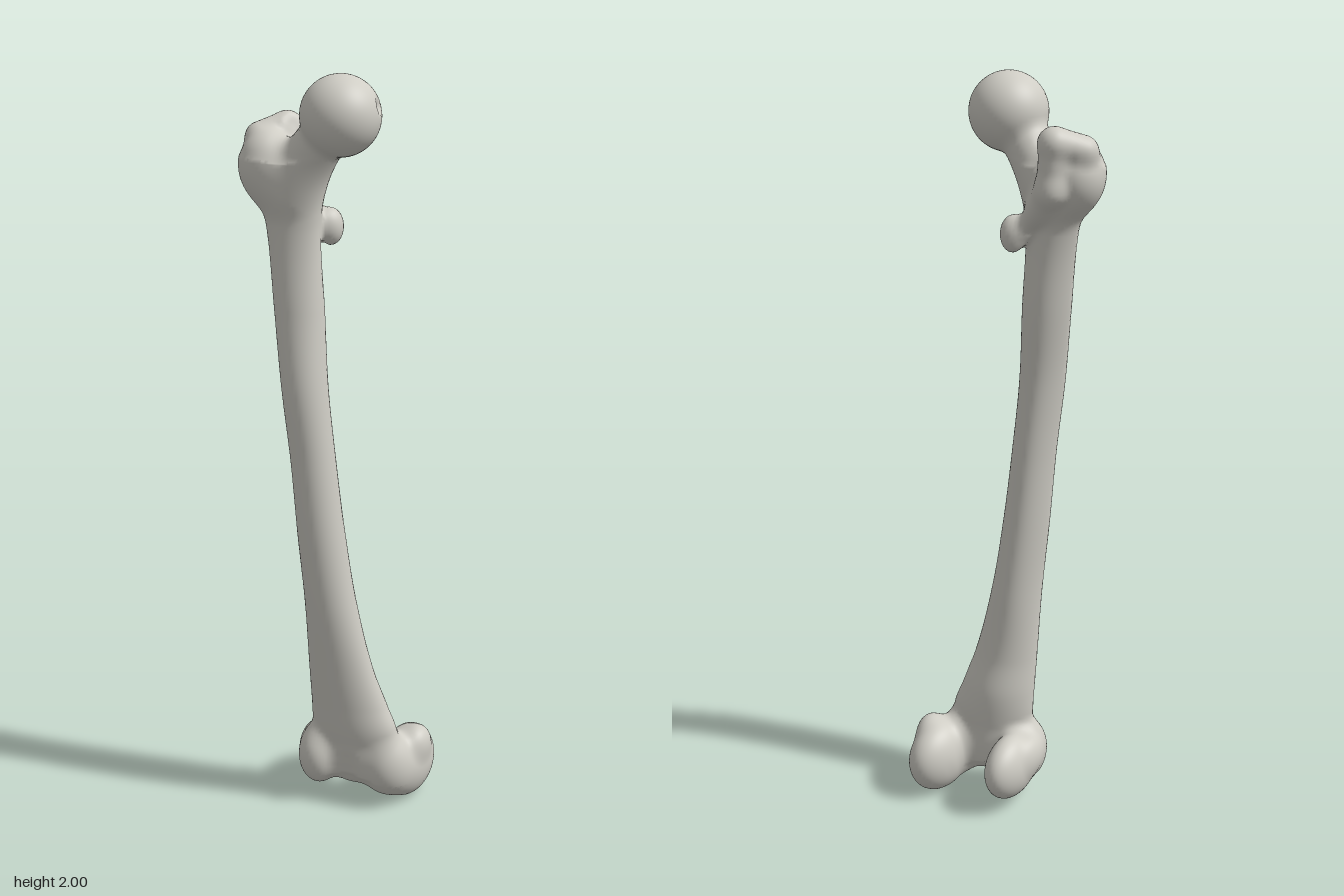
import * as THREE from 'three';

// The bone is a set of rounded masses blended into one smooth surface,
// which is then meshed in three named lengths.

const CELL = 0.01;

// Shaft cross-sections: height, then centre x, centre z, half width, half depth
const STATIONS = [
  [0.12, 0.06, 0.02, 0.10, 0.05],
  [0.22, 0.06, 0.025, 0.12, 0.065],
  [0.30, 0.045, 0.03, 0.108, 0.068],
  [0.40, 0.028, 0.045, 0.092, 0.063],
  [0.60, 0.003, 0.062, 0.072, 0.066],
  [0.80, -0.02, 0.072, 0.065, 0.066],
  [1.00, -0.04, 0.076, 0.061, 0.064],
  [1.20, -0.0625, 0.076, 0.0625, 0.064],
  [1.40, -0.083, 0.057, 0.0675, 0.058],
  [1.60, -0.102, 0.045, 0.072, 0.047],
  [1.70, -0.11, 0.04, 0.085, 0.055],
  [1.78, -0.12, 0.04, 0.09, 0.055],
];
const sections = new THREE.CubicInterpolant(
  new Float32Array(STATIONS.map((s) => s[0])),
  new Float32Array(STATIONS.flatMap((s) => s.slice(1))), 4);

// Smooth joining and carving of distance values
function join(a, b, k) {
  const h = Math.max(k - Math.abs(a - b), 0) / k;
  return Math.min(a, b) - h * h * k * 0.25;
}
const carve = (a, b, k) => -join(-a, b, k);

// Oval shaft, pinched behind into a long ridge
function shaft(x, y, z) {
  const [cx, cz, rx, rz] = sections.evaluate(y);
  const v = (z - cz) / rz;
  const u = ((x - cx) / rx) * (1 + 0.22 * Math.max(0, -v));
  const side = (Math.hypot(u, v) - 1) * Math.min(rx, rz);
  return Math.max(side, 0.1 - y, y - 1.76);
}

// Ellipsoid, optionally turned about the vertical
function ellipsoid([cx, cy, cz], [rx, ry, rz], yaw = 0) {
  const c = Math.cos(yaw), s = Math.sin(yaw);
  return (x, y, z) => {
    const dx = x - cx, dz = z - cz;
    const a = (dx * c + dz * s) / rx, b = (y - cy) / ry, d = (dz * c - dx * s) / rz;
    const k0 = Math.hypot(a, b, d), k1 = Math.hypot(a / rx, b / ry, d / rz);
    return k1 < 1e-6 ? -Math.min(rx, ry, rz) : (k0 * (k0 - 1)) / k1;
  };
}

// Rounded rod whose radius runs from r0 to r1
function rod(p, q, r0, r1) {
  const d = q.map((v, i) => v - p[i]);
  const len2 = d[0] ** 2 + d[1] ** 2 + d[2] ** 2;
  return (x, y, z) => {
    const a = x - p[0], b = y - p[1], c = z - p[2];
    const t = Math.min(1, Math.max(0, (a * d[0] + b * d[1] + c * d[2]) / len2));
    return Math.hypot(a - d[0] * t, b - d[1] * t, c - d[2] * t) - (r0 + (r1 - r0) * t);
  };
}

// Upper end: neck, greater trochanter with its crest, lesser trochanter, ball
const upperMasses = [
  [rod([-0.12, 1.71, 0.035], [0.0, 1.865, 0.06], 0.07, 0.06), 0.04],
  [ellipsoid([-0.175, 1.76, 0.03], [0.075, 0.09, 0.078]), 0.04],
  [rod([-0.205, 1.825, 0.005], [-0.15, 1.85, -0.042], 0.04, 0.038), 0.02],
  [rod([-0.15, 1.84, -0.042], [-0.14, 1.73, -0.04], 0.038, 0.036), 0.02],
  [rod([-0.14, 1.73, -0.04], [-0.05, 1.62, -0.01], 0.034, 0.018), 0.03],
  [ellipsoid([-0.022, 1.605, -0.012], [0.032, 0.048, 0.036]), 0.03],
  [ellipsoid([0.03, 1.898, 0.067], [0.102, 0.102, 0.102]), 0.015],
];
const upperHollows = [
  [ellipsoid([0.137, 1.925, 0.055], [0.02, 0.02, 0.02]), 0.012],
  [ellipsoid([-0.105, 1.88, -0.005], [0.03, 0.045, 0.03]), 0.02],
];

// Lower end: inner and outer condyles, their front lobes and side bumps
const lowerMasses = [
  [ellipsoid([0.182, 0.1, -0.06], [0.068, 0.1, 0.112], 0.15), 0.03],
  [ellipsoid([-0.04, 0.118, -0.055], [0.058, 0.09, 0.11], 0.03), 0.03],
  [ellipsoid([0.145, 0.12, 0.015], [0.07, 0.09, 0.07], 0.3), 0.03],
  [ellipsoid([-0.04, 0.13, 0.035], [0.058, 0.085, 0.066]), 0.03],
  [ellipsoid([0.06, 0.13, 0.02], [0.09, 0.078, 0.055]), 0.03],
  [ellipsoid([0.215, 0.165, -0.05], [0.035, 0.045, 0.045]), 0.03],
  [ellipsoid([-0.078, 0.14, -0.02], [0.028, 0.045, 0.045]), 0.03],
];
const lowerHollows = [
  [rod([0.068, -0.01, -0.11], [0.068, 0.13, -0.14], 0.05, 0.045), 0.02],
  [rod([0.05, 0.0, 0.09], [0.05, 0.13, 0.125], 0.035, 0.035), 0.03],
];

function field(x, y, z) {
  let d = shaft(x, y, z);
  const low = y < 0.5;
  if (!low && y < 1.4) return d;
  for (const [f, k] of low ? lowerMasses : upperMasses) d = join(d, f(x, y, z), k);
  for (const [f, k] of low ? lowerHollows : upperHollows) d = carve(d, f(x, y, z), k);
  return d;
}

function gradient(x, y, z) {
  const e = 0.002;
  return [
    (field(x + e, y, z) - field(x - e, y, z)) / (2 * e),
    (field(x, y + e, z) - field(x, y - e, z)) / (2 * e),
    (field(x, y, z + e) - field(x, y, z - e)) / (2 * e),
  ];
}

// Meshes the blended surface between two heights: one vertex per crossed cell
function skin(y0, y1) {
  const min = [-0.32, y0 - 2 * CELL, -0.24];
  const size = [0.64, y1 - y0 + 4 * CELL, 0.48].map((s) => Math.round(s / CELL) + 1);
  const step = [1, size[0], size[0] * size[1]];
  const at = (a, i) => min[a] + i * CELL;
  const values = new Float32Array(size[0] * size[1] * size[2]);
  for (let k = 0, n = 0; k < size[2]; k++)
    for (let j = 0; j < size[1]; j++)
      for (let i = 0; i < size[0]; i++) values[n++] = field(at(0, i), at(1, j), at(2, k));

  const positions = [], normals = [], index = [], made = new Map();
  function vertex(cell) {
    if (made.has(cell)) return made.get(cell);
    const ijk = [cell % size[0], Math.floor(cell / step[1]) % size[1], Math.floor(cell / step[2])];
    const mid = ijk.map((v, a) => at(a, v + 0.5));
    let p = mid.slice();
    for (let pass = 0; pass < 4; pass++) {
      const g = gradient(...p);
      const move = field(...p) / Math.max(0.05, g[0] ** 2 + g[1] ** 2 + g[2] ** 2);
      p = p.map((v, a) => THREE.MathUtils.clamp(
        v - g[a] * move, mid[a] - 0.6 * CELL, mid[a] + 0.6 * CELL));
    }
    positions.push(...p);
    normals.push(...new THREE.Vector3(...gradient(...p)).normalize().toArray());
    made.set(cell, made.size);
    return made.size - 1;
  }

  for (let k = 1; k < size[2] - 1; k++)
    for (let j = 2; j < size[1] - 3; j++)
      for (let i = 1; i < size[0] - 1; i++) {
        const n = i + j * step[1] + k * step[2];
        for (let a = 0; a < 3; a++) {
          const inside = values[n] < 0;
          if (inside === values[n + step[a]] < 0) continue;
          const b = step[(a + 1) % 3], c = step[(a + 2) % 3];
          const q = [n, n - b, n - b - c, n - c].map(vertex);
          if (!inside) q.reverse();
          index.push(q[0], q[1], q[2], q[0], q[2], q[3]);
        }
      }

  const geometry = new THREE.BufferGeometry();
  geometry.setAttribute('position', new THREE.Float32BufferAttribute(positions, 3));
  geometry.setAttribute('normal', new THREE.Float32BufferAttribute(normals, 3));
  geometry.setIndex(index);
  return geometry;
}

export function createModel() {
  const group = new THREE.Group();
  group.name = 'thighBone';
  const bone = new THREE.MeshStandardMaterial({ color: 0xcfcdc5 });
  bone.name = 'bone';
  const lengths = [
    ['kneeEnd', -0.05, 0.35],
    ['shaft', 0.35, 1.5],
    ['hipEnd', 1.5, 2.05],
  ];
  for (const [name, y0, y1] of lengths) {
    const mesh = new THREE.Mesh(skin(y0, y1), bone);
    mesh.name = name;
    group.add(mesh);
  }
  return group;
}
